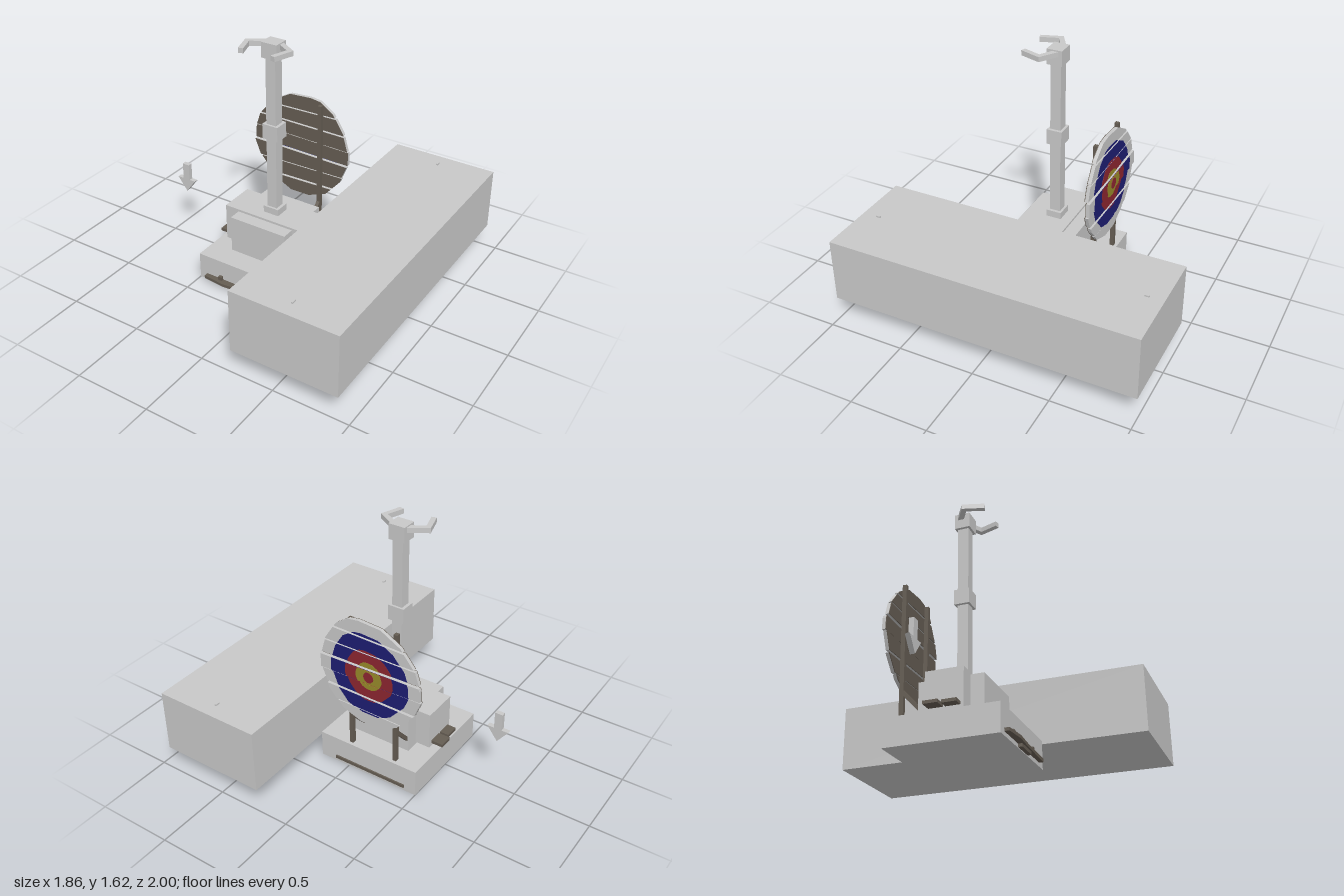
import * as THREE from 'three';

const material = (name, color) => {
  const m = new THREE.MeshStandardMaterial({ color });
  m.name = name;
  return m;
};

export function createModel() {
  const grey = material('light grey', 0xc8c8c8);
  const brown = material('dark wood', 0x655d53);
  const blue = material('target blue', 0x1e1e72);
  const red = material('target red', 0x8c2630);
  const yellow = material('target yellow', 0x988a2a);

  const model = new THREE.Group();
  model.name = 'targetStand';

  const add = (name, geometry, mat, parent = model) => {
    const mesh = new THREE.Mesh(geometry, mat);
    mesh.name = name;
    parent.add(mesh);
    return mesh;
  };
  // Box given by its limits on each axis
  const box = (name, mat, [x0, x1], [y0, y1], [z0, z1], parent) => {
    const g = new THREE.BoxGeometry(x1 - x0, y1 - y0, z1 - z0);
    g.translate((x0 + x1) / 2, (y0 + y1) / 2, (z0 + z1) / 2);
    return add(name, g, mat, parent);
  };
  const prism = (points, depth) => new THREE.ExtrudeGeometry(
    new THREE.Shape(points.map(([x, y]) => new THREE.Vector2(x, y))),
    { depth, bevelEnabled: false });
  // Horizontal slab: points are (x, z), thickness runs down from the top
  const slab = (name, mat, points, top, thickness, parent) => {
    const g = prism(points, thickness);
    g.rotateX(Math.PI / 2);
    g.translate(0, top, 0);
    return add(name, g, mat, parent);
  };

  // Main blocks
  box('base', grey, [-0.5, 0.21], [0, 0.18], [-0.355, 0.355]);
  box('longBlock', grey, [0.212, 0.925], [0.16, 0.58], [-1, 1]);
  box('wideBlock', grey, [-0.45, 0.165], [0.195, 0.445], [-0.12, 0.12]);
  box('deepBlock', grey, [-0.35, 0.06], [0.18, 0.43], [-0.205, 0.205]);
  for (const z of [-0.895, 0.89]) {
    box('topPeg', grey, [0.564, 0.576], [0.58, 0.59], [z - 0.015, z + 0.015]);
  }

  // Column with collars
  const cx = -0.145;
  const column = new THREE.Group();
  column.name = 'column';
  model.add(column);
  box('pole', grey, [cx - 0.035, cx + 0.035], [0.43, 1.53], [-0.035, 0.035], column);
  for (const [y0, y1] of [[0.44, 0.49], [0.98, 1.08], [1.52, 1.62]]) {
    box('collar', grey, [cx - 0.055, cx + 0.055], [y0, y1], [-0.05, 0.05], column);
  }
  // Mirrored bent arms at the top
  const arm = [[0.05, -0.03], [0.17, 0.045], [0.127, 0.18], [0.095, 0.172], [0.132, 0.06], [0.05, 0.01]];
  for (const side of [-1, 1]) {
    slab('arm', grey, arm.map(([x, z]) => [cx + side * x, z]), 1.612, 0.032, column);
  }

  // Small boards on both sides
  box('sideBoard', brown, [-0.53, -0.44], [0.215, 0.235], [-0.095, -0.005]);
  box('sideBoard', brown, [-0.51, -0.44], [0.215, 0.235], [0.01, 0.1]);
  box('sideBoard', brown, [0.15, 0.205], [0.2, 0.22], [-0.095, -0.005]);
  box('sideBoard', brown, [0.15, 0.205], [0.2, 0.22], [0.01, 0.1]);

  // Boards emerging from the front and back of the base
  slab('frontBoard', brown,
    [[-0.445, 0.34], [-0.445, 0.385], [-0.3, 0.4], [-0.15, 0.39], [0.145, 0.382], [0.145, 0.34]], 0.045, 0.02);
  box('lowerFrontBoard', brown, [-0.225, -0.065], [0.005, 0.026], [0.34, 0.38]);
  box('backBoard', brown, [-0.42, 0.095], [0.025, 0.045], [-0.365, -0.34]);

  // Posts and slanted braces behind the blocks
  for (const x of [-0.33, -0.008]) {
    box('frontPeg', brown, [x - 0.013, x + 0.013], [0.04, 0.07], [0.35, 0.375]);
    box('post', brown, [x - 0.013, x + 0.013], [0.18, 1.1], [-0.333, -0.305]);
    const brace = add('brace', new THREE.BoxGeometry(0.024, 0.024, 0.24), brown);
    brace.position.set(x, 0.305, -0.235);
    brace.rotation.x = 0.84;
  }

  // Round target: an outline cut into boards by slightly tilted gaps
  const tx = -0.17, ty = 0.765;
  const outline = [[-0.245, 1.115], [-0.09, 1.125], [-0.02, 1.115], [0.075, 1.05], [0.15, 0.93],
    [0.185, 0.81], [0.185, 0.71], [0.13, 0.57], [0.03, 0.455], [-0.1, 0.405], [-0.24, 0.405],
    [-0.36, 0.465], [-0.48, 0.6], [-0.525, 0.71], [-0.52, 0.8], [-0.48, 0.92], [-0.38, 1.04]]
    .map(([x, y]) => [x - tx, y - ty]);
  // Keep the side of a convex polygon above (sign 1) or below (sign -1) a line
  const clip = (points, [height, slope], sign) => {
    const dist = ([x, y]) => sign * (y - height - slope * x);
    const out = [];
    points.forEach((a, i) => {
      const b = points[(i + 1) % points.length];
      const da = dist(a), db = dist(b);
      if (da >= 0) out.push(a);
      if (da * db < 0) {
        const t = da / (da - db);
        out.push([a[0] + t * (b[0] - a[0]), a[1] + t * (b[1] - a[1])]);
      }
    });
    return out;
  };
  const gaps = [[0.5, 0], [0.255, 0.02], [0.153, -0.008], [0.052, -0.02], [-0.053, -0.02],
    [-0.16, 0.015], [-0.265, 0.02], [-0.5, 0]];
  const offsets = [0, 0.002, 0, 0.01, 0, 0.006, 0];
  // Layers: name, material, scale, back z and thickness
  const layers = [
    ['boardFront', brown, 1, -0.337, 0.004],
    ['boardBody', grey, 1, -0.359, 0.022],
    ['blueRing', blue, 0.78, -0.361, 0.002],
    ['redRing', red, 0.48, -0.363, 0.002],
    ['yellowRing', yellow, 0.26, -0.365, 0.002],
    ['centreSpot', red, 0.1, -0.367, 0.002],
  ];
  const target = new THREE.Group();
  target.name = 'target';
  target.position.set(tx, ty, 0);
  model.add(target);
  offsets.forEach((offset, i) => {
    const upper = [gaps[i][0] - 0.006, gaps[i][1]];
    const lower = [gaps[i + 1][0] + 0.006, gaps[i + 1][1]];
    for (const [name, mat, scale, z, thickness] of layers) {
      const scaled = outline.map(([x, y]) => [x * scale, y * scale]);
      const piece = clip(clip(scaled, upper, -1), lower, 1);
      if (piece.length < 3) continue;
      add(name, prism(piece, thickness), mat, target).position.z = z - offset;
    }
  });

  // Floating arrow pointing down
  const arrow = prism([[-0.885, 0.57], [-0.885, 0.457], [-0.93, 0.457], [-0.86, 0.365],
    [-0.79, 0.457], [-0.835, 0.457], [-0.835, 0.57]], 0.03);
  add('arrow', arrow, grey).position.z = -0.018;

  return model;
}
